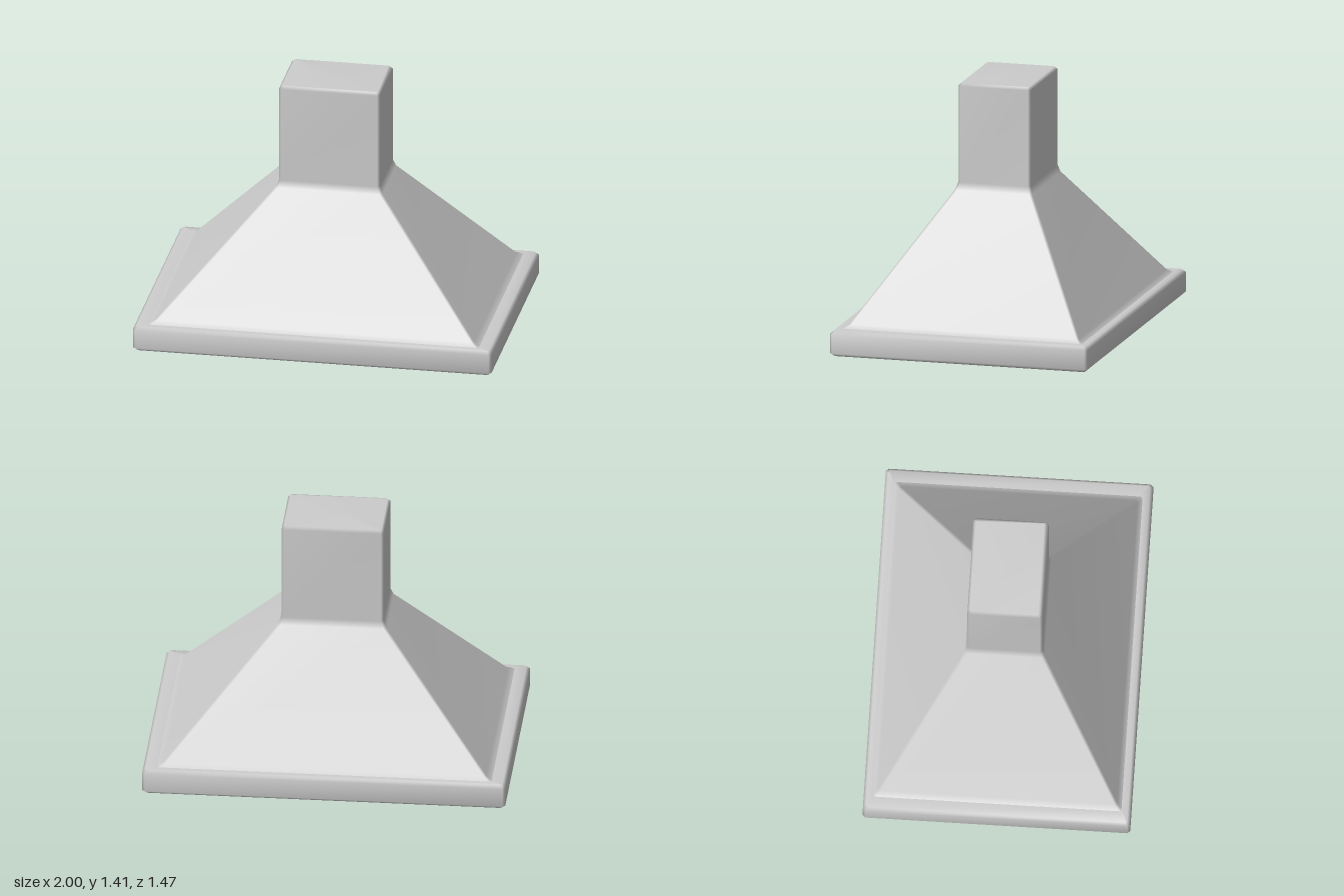
import * as THREE from 'three';

// Chamfered rectangle, counter-clockwise seen from above
function ring(y, hx, hz, c) {
  return [
    [hx, hz - c], [hx, -hz + c], [hx - c, -hz], [-hx + c, -hz],
    [-hx, -hz + c], [-hx, hz - c], [-hx + c, hz], [hx - c, hz],
  ].map(([x, z]) => [x, y, z]);
}

// Skin between rectangular sections [y, halfWidth, halfDepth, chamfer]
function loft(rows, capTop) {
  const pos = rows.flatMap((r) => ring(...r)).flat();
  const idx = [];
  for (let r = 0; r < rows.length - 1; r++) {
    for (let i = 0; i < 8; i++) {
      const a = r * 8 + i, b = r * 8 + (i + 1) % 8;
      idx.push(a, b, b + 8, a, b + 8, a + 8);
    }
  }
  if (capTop) {
    const s = (rows.length - 1) * 8;
    for (let i = 1; i < 7; i++) idx.push(s, s + i, s + i + 1);
  }
  const g = new THREE.BufferGeometry();
  g.setAttribute('position', new THREE.Float32BufferAttribute(pos, 3));
  g.setIndex(idx);
  g.computeVertexNormals();
  return g;
}

export function createModel() {
  const model = new THREE.Group();
  model.name = 'rangeHood';
  const steel = new THREE.MeshStandardMaterial({ color: 0xcccccc });
  steel.name = 'brushed steel';

  const add = (name, geometry) => {
    const mesh = new THREE.Mesh(geometry, steel);
    mesh.name = name;
    model.add(mesh);
    return mesh;
  };

  // Base rim: recess wall, underside lip, bevelled outer band, top ledge
  add('baseRim', loft([
    [0.05, 0.94, 0.675, 0.005],
    [0.008, 0.945, 0.68, 0.005],
    [0, 0.953, 0.688, 0.007],
    [0, 0.98, 0.715, 0.01],
    [0.018, 1, 0.735, 0.015],
    [0.125, 1, 0.735, 0.015],
    [0.142, 0.983, 0.718, 0.012],
    [0.142, 0.92, 0.682, 0.012],
  ]));

  // Sloping canopy running into the straight flue
  add('canopyAndFlue', loft([
    [0.142, 0.92, 0.682, 0.012],
    [0.16, 0.888, 0.655, 0.012],
    [0.815, 0.298, 0.22, 0.014],
    [0.855, 0.281, 0.207, 0.014],
    [1.395, 0.281, 0.207, 0.014],
    [1.41, 0.267, 0.193, 0.01],
  ], true));

  // Recessed filter panel facing down
  const panel = add('filterPanel', new THREE.PlaneGeometry(1.88, 1.35));
  panel.rotation.x = Math.PI / 2;
  panel.position.y = 0.05;

  return model;
}
